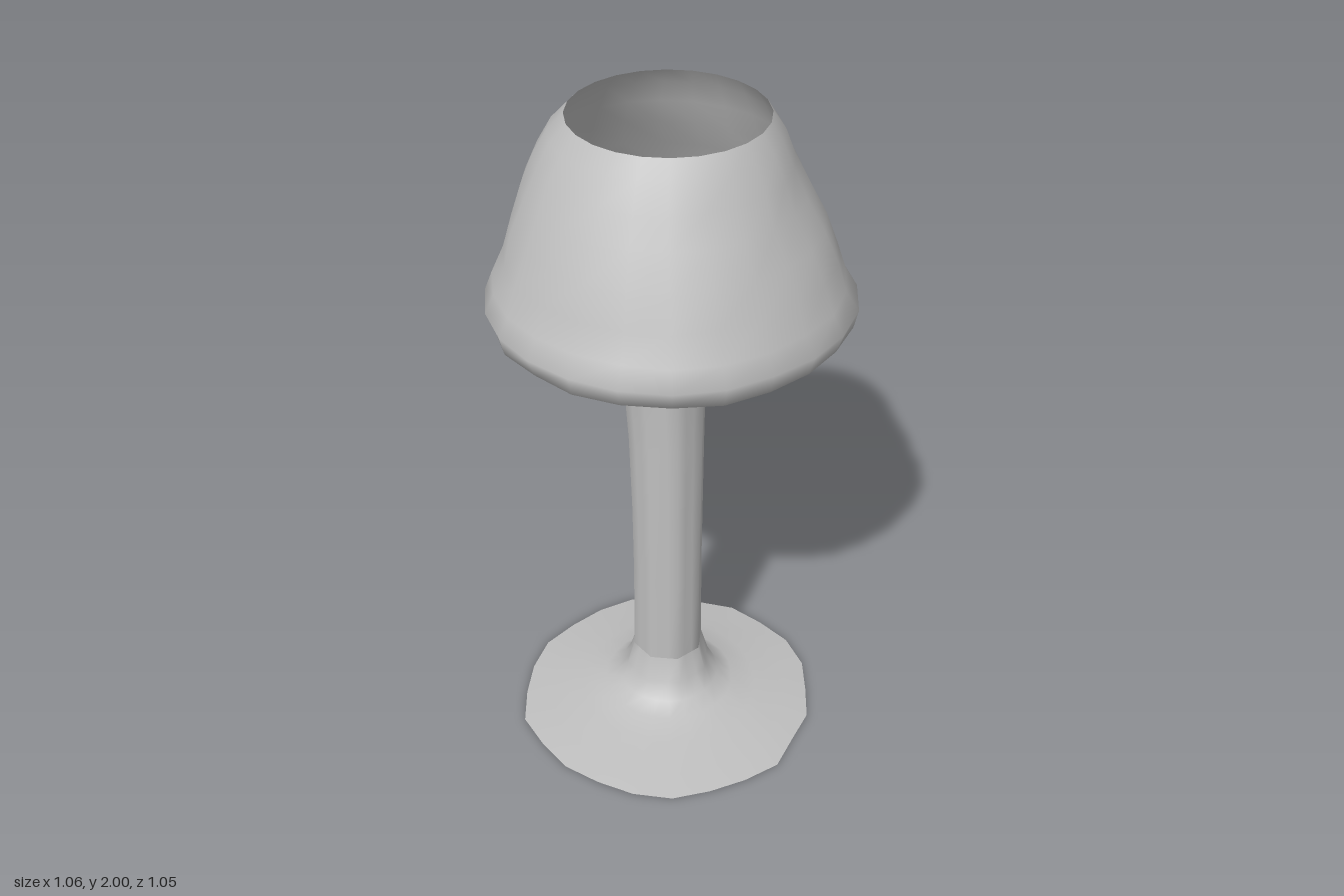
import * as THREE from 'three';

const SEG = 24;

// Outline of the widest shade rim, one radius per 15 degrees from +x towards +z
const RIM = [.525, .525, .52, .53, .53, .53, .525, .52, .52, .51, .505, .5,
  .515, .55, .565, .595, .595, .545, .52, .51, .515, .51, .52, .53];

function seeded(seed) {
  return () => {
    seed = (seed * 16807) % 2147483647;
    return seed / 2147483647 - 0.5;
  };
}

// Skin a stack of rings: [y, centreX, centreZ, radiusX, radiusZ, wobble]
// shape(j, ring) scales the radius, drop(j, ring) lowers the vertex
function loft(rings, shape, drop = () => 0, seed = 7) {
  const rand = seeded(seed);
  const pos = [], index = [];
  rings.forEach(([y, cx, cz, rx, rz, wobble = 0], i) => {
    for (let j = 0; j < SEG; j++) {
      const a = (j / SEG) * Math.PI * 2;
      const k = shape(j, i) + rand() * wobble;
      pos.push(cx + Math.cos(a) * rx * k, y - drop(j, i), cz + Math.sin(a) * rz * k);
    }
  });
  for (let i = 0; i < rings.length - 1; i++) {
    for (let j = 0; j < SEG; j++) {
      const a = i * SEG + j, b = i * SEG + (j + 1) % SEG;
      index.push(a, a + SEG, b, b, a + SEG, b + SEG);
    }
  }
  const g = new THREE.BufferGeometry();
  g.setAttribute('position', new THREE.Float32BufferAttribute(pos, 3));
  g.setIndex(index);
  g.computeVertexNormals();
  return g;
}

// Radius factor of a soft octagon
const octagon = (j) => {
  const t = ((j + 1.5) % 3 - 1.5) * (Math.PI * 2 / SEG);
  return Math.cos(Math.PI / 8) / Math.cos(Math.PI / 8 - Math.abs(t)) + 0.03;
};

export function createModel() {
  const model = new THREE.Group();
  const grey = new THREE.MeshStandardMaterial({ color: 0xbfbfbf, side: THREE.DoubleSide });
  grey.name = 'plain grey';

  const add = (name, geometry) => {
    const mesh = new THREE.Mesh(geometry, grey);
    mesh.name = name;
    model.add(mesh);
  };

  // Thin flared foot with a ragged edge and one small spike
  add('base', loft([
    [0, .035, .06, .465, .46, .05],
    [.012, .033, .055, .38, .38, .03],
    [.028, .025, .04, .28, .28, .03],
    [.045, .02, .03, .205, .205, .03],
    [.07, .015, .025, .16, .16],
    [.12, .013, .023, .13, .13],
    [.2, .012, .022, .108, .108],
  ], (j, i) => (i === 0 ? (j === 9 ? 1.03 : 0.985) : i > 4 ? octagon(j) : 1)));

  // Hollow eight-sided stem, a little wider towards the top
  add('stem', loft([
    [.2, .012, .022, .108, .108],
    [.5, .012, .022, .106, .106, .02],
    [.75, .01, .02, .108, .108, .03],
    [1, .005, .015, .111, .112, .03],
    [1.18, -.004, .01, .12, .12, .03],
    [1.3, -.008, .002, .133, .133],
  ], octagon));

  // Shade: flared neck, flat underside, rolled rim and sloping wall, open at the top
  const bulge = [0, 0, 0, 0, .7, .9, 1, 1, .8, .55, .35, .15, 0, 0, 0];
  add('shade', loft([
    [1.3, -.008, .002, .133, .133],
    [1.365, -.004, .002, .143, .143],
    [1.395, 0, .002, .17, .17],
    [1.41, 0, 0, .23, .23, .02],
    [1.412, 0, 0, .37, .37, .02],
    [1.41, 0, 0, .465, .465, .02],
    [1.43, 0, 0, .508, .508, .025],
    [1.485, 0, 0, .525, .525, .015],
    [1.54, 0, 0, .495, .495, .025],
    [1.62, 0, 0, .462, .462, .025],
    [1.71, -.005, 0, .428, .425, .025],
    [1.8, -.01, 0, .386, .38, .025],
    [1.88, -.013, -.005, .35, .343, .02],
    [1.95, -.012, -.01, .313, .308, .015],
    [2, -.006, -.012, .272, .272],
  ], (j, i) => (i < 2 ? octagon(j) : 1 + (RIM[j] / .525 - 1) * bulge[i]),
  (j, i) => (i >= 5 && i <= 7 ? Math.max(0, RIM[j] - .53) * .5 : 0), 21));

  return model;
}
